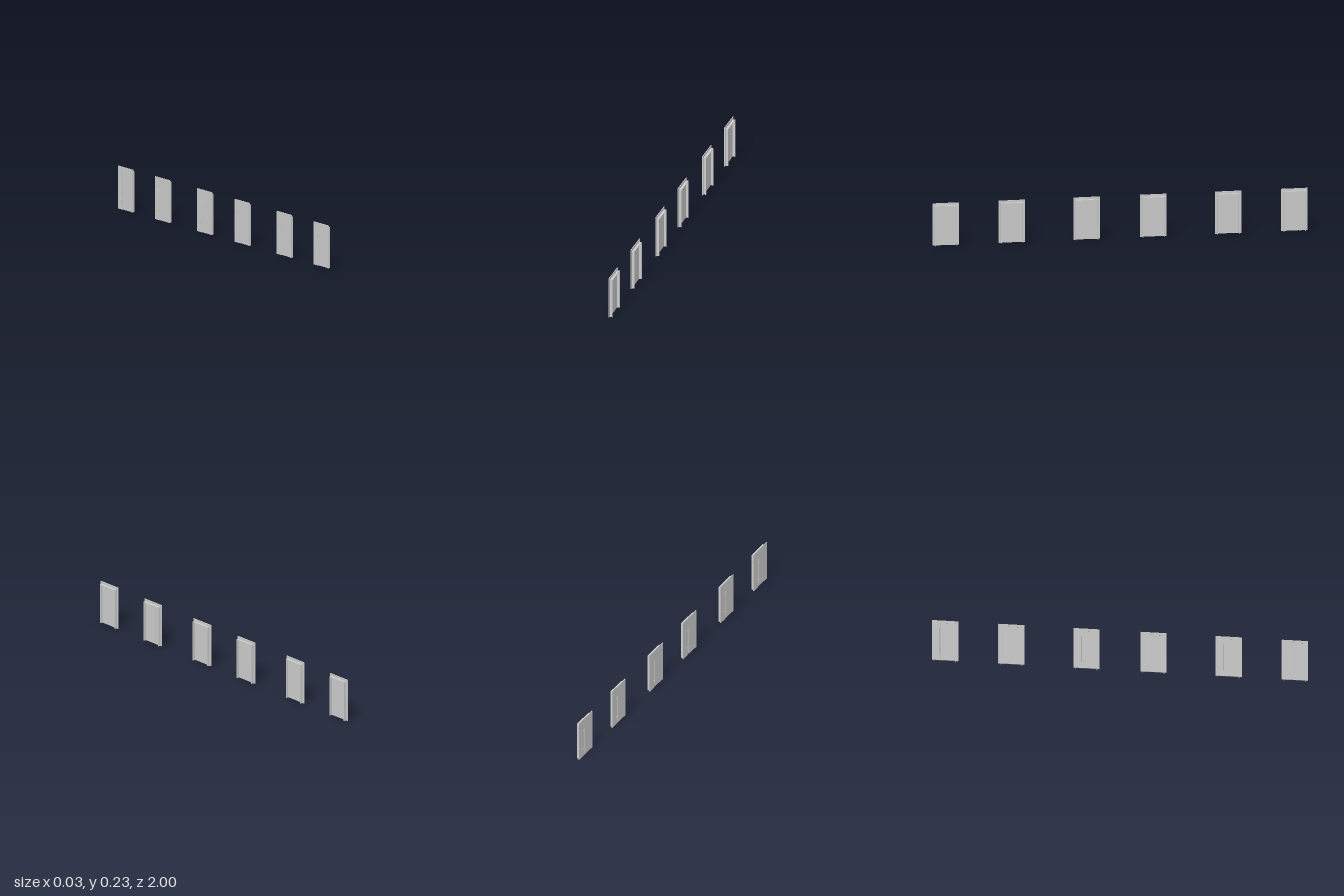
import * as THREE from 'three';

const material = new THREE.MeshStandardMaterial({ color: 0xcccccc, flatShading: true });
const smooth = new THREE.MeshStandardMaterial({ color: 0xcccccc });

function add(parent, name, geometry, x, y, z, mat = material) {
  const mesh = new THREE.Mesh(geometry, mat);
  mesh.name = name;
  mesh.position.set(x, y, z);
  parent.add(mesh);
  return mesh;
}

// Box given by its limits along each axis
function block(parent, name, [x0, x1], [y0, y1], [z0, z1]) {
  return add(parent, name, new THREE.BoxGeometry(x1 - x0, y1 - y0, z1 - z0),
    (x0 + x1) / 2, (y0 + y1) / 2, (z0 + z1) / 2);
}

// Door surround open at the floor, extruded from x0 to x1
function surround(parent, name, x0, x1, half, top, border) {
  const inner = half - border;
  const shape = new THREE.Shape([
    [-half, 0], [-inner, 0], [-inner, top - border], [inner, top - border],
    [inner, 0], [half, 0], [half, top], [-half, top],
  ].map(([a, b]) => new THREE.Vector2(a, b)));
  const geometry = new THREE.ExtrudeGeometry(shape, { depth: x1 - x0, bevelEnabled: false });
  geometry.rotateY(Math.PI / 2);
  return add(parent, name, geometry, x0, 0, 0);
}

function createDoor() {
  const door = new THREE.Group();
  door.name = 'door';

  // Flat casing on the handle side and the deep jamb behind it
  surround(door, 'casing', -0.005, -0.001, 0.07, 0.23, 0.014);
  surround(door, 'jamb', -0.001, 0.013, 0.06, 0.218, 0.004);

  // Narrow fixed leaf and wide opening leaf
  block(door, 'fixedLeaf', [-0.005, -0.001], [0, 0.216], [-0.056, -0.024]);
  block(door, 'openingLeaf', [-0.004, 0], [0.001, 0.216], [-0.023, 0.056]);
  block(door, 'leafSeal', [-0.003, -0.001], [0.001, 0.216], [-0.024, -0.023]);

  // Long pull bar on two standoffs
  const handle = new THREE.Group();
  handle.name = 'handle';
  handle.position.z = -0.031;
  door.add(handle);
  add(handle, 'pullBar', new THREE.CylinderGeometry(0.0017, 0.0017, 0.152, 12), -0.0132, 0.106, 0, smooth);
  for (const y of [0.052, 0.163]) {
    const post = add(handle, 'standoff', new THREE.CylinderGeometry(0.0015, 0.0015, 0.01, 12), -0.009, y, 0, smooth);
    post.rotation.z = Math.PI / 2;
  }
  return door;
}

export function createModel() {
  const model = new THREE.Group();
  model.name = 'doorRow';
  // Six matching doors in a line
  for (const z of [0.93, 0.577, 0.178, -0.178, -0.577, -0.93]) {
    const door = createDoor();
    door.position.z = z;
    model.add(door);
  }
  return model;
}
